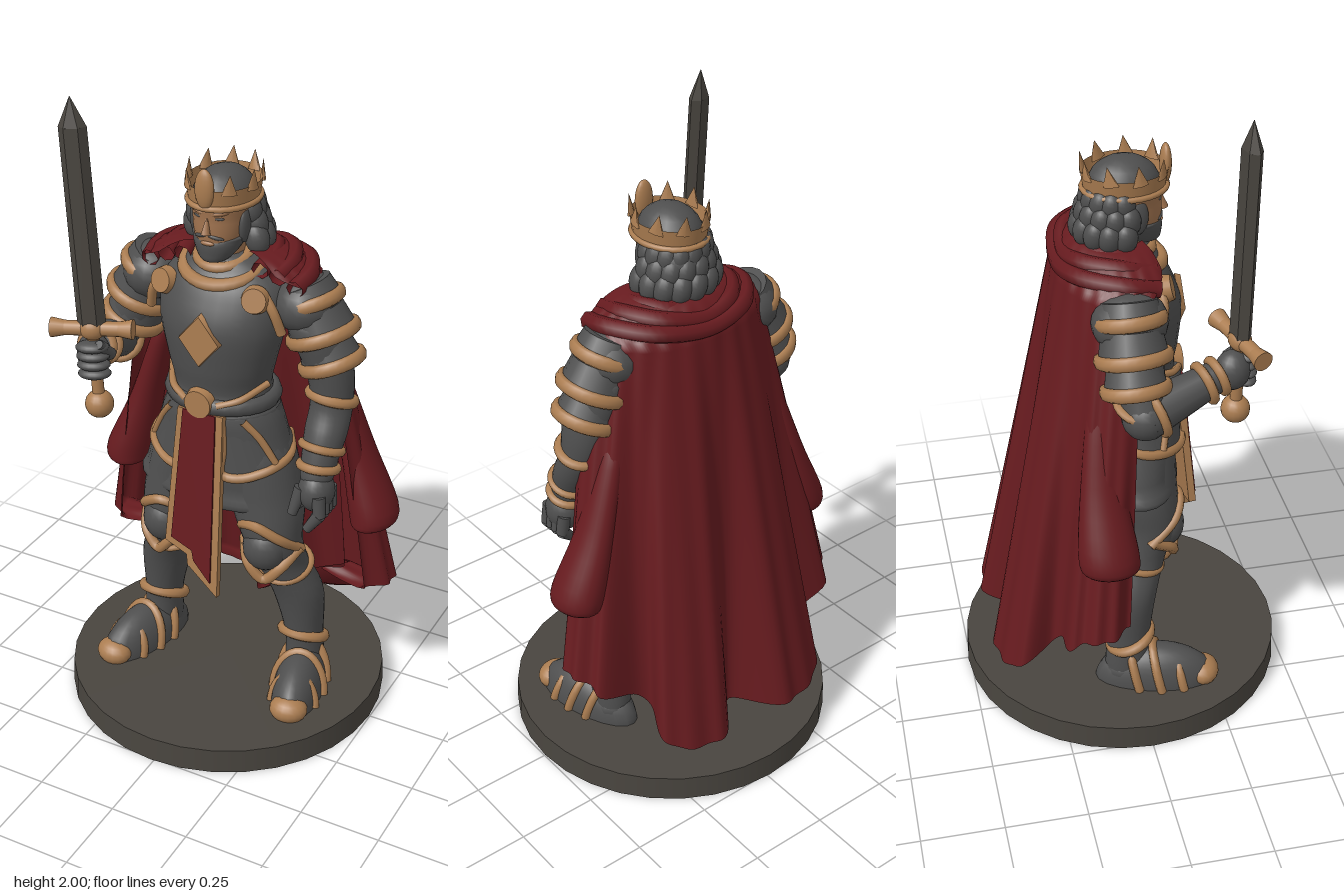
import * as THREE from 'three';
import { ParametricGeometry } from 'three/addons/geometries/ParametricGeometry.js';

const mat = (name, color, side = THREE.FrontSide) => {
  const m = new THREE.MeshStandardMaterial({ color, side });
  m.name = name;
  return m;
};
const V = (p) => new THREE.Vector3(...p);
const UP = V([0, 1, 0]), FWD = V([0, 0, 1]);
const { lerp, clamp, smoothstep } = THREE.MathUtils;
const D = Math.PI / 180;

export function createModel() {
  const steel = mat('dark steel', 0x4f4f4f), gold = mat('bronze trim', 0xab7d51, THREE.DoubleSide);
  const red = mat('red cloth', 0x671b1f, THREE.DoubleSide), stone = mat('base stone', 0x49453f);
  const skin = mat('skin', 0xa0734f);
  const model = new THREE.Group();
  model.name = 'armouredKing';

  const add = (name, geo, m, pos = [0, 0, 0], scale = [1, 1, 1], rot = [0, 0, 0], parent = model) => {
    const mesh = new THREE.Mesh(geo, m);
    mesh.name = name;
    mesh.position.set(...pos);
    mesh.scale.set(...scale);
    mesh.rotation.set(...rot);
    parent.add(mesh);
    return mesh;
  };
  const group = (name, pos, rot) => {
    const g = new THREE.Group();
    g.name = name;
    g.position.set(...pos);
    g.rotation.set(...rot, 'ZYX');
    model.add(g);
    return g;
  };
  const ball = (name, m, pos, scale, parent = model, rot) =>
    add(name, new THREE.SphereGeometry(1, 18, 12), m, pos, scale, rot, parent);
  // Tapered rod between two points
  const rod = (name, m, a, b, ra, rb, parent = model) => {
    const A = V(a), d = V(b).sub(A);
    const mesh = add(name, new THREE.CylinderGeometry(rb, ra, d.length(), 16), m,
      A.clone().addScaledVector(d, 0.5).toArray(), undefined, undefined, parent);
    mesh.quaternion.setFromUnitVectors(UP, d.normalize());
    return mesh;
  };
  // Ring around an axis
  const band = (name, m, pos, dir, r, t, scale) => {
    const mesh = add(name, new THREE.TorusGeometry(r, t, 8, 28), m, pos, scale);
    mesh.quaternion.setFromUnitVectors(FWD, V(dir).normalize());
    return mesh;
  };
  const trim = (name, m, pts, r) =>
    add(name, new THREE.TubeGeometry(new THREE.CatmullRomCurve3(pts.map(V)), 36, r, 7), m);
  // Smooth body through level rings [y, cx, cz, rx, rz], lowest first
  const loft = (name, m, rows) => {
    const e = (r, dy) => [r[0] + dy, r[1], r[2], 0.001, 0.001];
    const all = [e(rows[0], -0.005), ...rows, e(rows[rows.length - 1], 0.005)];
    const mid = new THREE.CatmullRomCurve3(all.map((r) => V([r[1], r[0], r[2]])), false, 'catmullrom');
    const size = new THREE.CatmullRomCurve3(all.map((r) => V([r[3], 0, r[4]])), false, 'catmullrom');
    return add(name, new ParametricGeometry((u, v, o) => {
      const c = mid.getPoint(v), s = size.getPoint(v), a = u * Math.PI * 2;
      o.set(c.x + s.x * Math.sin(a), c.y, c.z + s.z * Math.cos(a));
    }, 28, all.length * 4), m);
  };

  // Base
  add('base', new THREE.CylinderGeometry(0.504, 0.507, 0.08, 32), stone, [-0.01, 0.04, 0]);

  // Legs and feet
  for (const s of [1, -1]) {
    const X = (x) => -0.005 + s * x;
    loft('leg', steel, [[0.1, X(0.26), -0.03, 0.055, 0.065], [0.25, X(0.255), -0.025, 0.06, 0.068],
      [0.4, X(0.235), -0.015, 0.08, 0.082], [0.52, X(0.195), 0.02, 0.08, 0.085], [0.62, X(0.175), 0.05, 0.092, 0.095],
      [0.75, X(0.145), 0.03, 0.115, 0.115], [0.95, X(0.1), 0.02, 0.1, 0.11]]);
    ball('kneeCop', steel, [X(0.175), 0.605, 0.1], [0.07, 0.078, 0.065]);
    trim('kneeUpperTrim', gold, [[X(0.085), 0.61, 0.05], [X(0.11), 0.68, 0.125], [X(0.165), 0.7, 0.15],
      [X(0.23), 0.66, 0.125], [X(0.27), 0.59, 0.04]], 0.016);
    trim('kneeLowerTrim', gold, [[X(0.09), 0.6, 0.07], [X(0.135), 0.555, 0.135], [X(0.185), 0.505, 0.13],
      [X(0.235), 0.55, 0.115], [X(0.268), 0.6, 0.05]], 0.017);
    band('kneeStrap', gold, [X(0.2), 0.5, 0.01], [0, 1, 0.3], 0.082, 0.011);
    band('ankleTrim', gold, [X(0.255), 0.235, -0.02], [0, 1, -0.45], 0.068, 0.017);
    const foot = group('foot', [X(0.265), 0.08, -0.02], [0, s * 0.22, 0]);
    add('sabaton', new THREE.SphereGeometry(1, 20, 10, 0, Math.PI * 2, 0, Math.PI / 2), steel,
      [0, 0, 0.08], [0.08, 0.125, 0.19], undefined, foot);
    for (const [z, r, h] of [[0.03, 0.078, 0.13], [0.1, 0.082, 0.122], [0.17, 0.072, 0.095]])
      add('footBand', new THREE.TorusGeometry(1, 0.17, 8, 16, Math.PI), gold, [0, 0, z], [r, h, 0.085], [-0.25, 0, 0], foot);
    ball('toeCap', gold, [0, 0.025, 0.23], [0.06, 0.042, 0.05], foot);
    ball('heel', steel, [0, 0.04, -0.01], [0.062, 0.055, 0.075], foot);
  }

  // Skirt of plates with trimmed hip guards
  loft('skirt', steel, [[0.73, -0.012, 0.02, 0.263, 0.137], [0.8, -0.012, 0.02, 0.258, 0.142],
    [0.92, -0.01, 0.025, 0.22, 0.144], [1.07, -0.01, 0.03, 0.155, 0.13]]);
  const onHip = (s, deg, y) => {
    const k = (1.07 - y) / 0.3;
    return [-0.01 + s * (0.168 + 0.1 * k) * Math.sin(deg * D), y, 0.025 + (0.143 + 0.02 * k) * Math.cos(deg * D)];
  };
  for (const s of [1, -1]) {
    add('hipGuard', new ParametricGeometry((u, v, o) => {
      const w = s > 0 ? u : 1 - u;
      o.set(...onHip(s, lerp(15, 125, w), lerp(0.86 + 0.07 * w, 1.05, v)));
    }, 20, 6), steel);
    trim('hipGuardTrim', gold, [[20, 1.05], [19, 0.95], [17, 0.87], [30, 0.86], [60, 0.885], [90, 0.905], [125, 0.93]]
      .map(([d, y]) => onHip(s, d, y)), 0.015);
    trim('hipSideTrim', gold, [[42, 1.04], [56, 0.98], [66, 0.9]].map(([d, y]) => onHip(s, d, y)), 0.012);
  }

  // Torso, belt and chest ornaments
  loft('breastplate', steel, [[1.05, -0.01, 0.03, 0.155, 0.135], [1.12, -0.01, 0.03, 0.15, 0.132],
    [1.2, -0.01, 0.035, 0.168, 0.138], [1.32, -0.01, 0.03, 0.195, 0.147], [1.42, -0.01, 0.01, 0.195, 0.13],
    [1.48, -0.01, 0, 0.15, 0.1], [1.52, -0.01, 0, 0.08, 0.07]]);
  band('belt', steel, [-0.01, 1.08, 0.03], [0, 1, 0], 0.15, 0.022, [1.06, 0.9, 1.2]);
  for (const s of [1, -1]) {
    trim('waistTrim', gold, [[-0.01 + s * 0.05, 1.09, 0.168], [-0.01 + s * 0.11, 1.11, 0.135], [-0.01 + s * 0.16, 1.14, 0.05]], 0.011);
    add('shoulderMedallion', new THREE.CylinderGeometry(0.036, 0.043, 0.03, 22), gold,
      [-0.018 + s * 0.148, 1.425, 0.105], undefined, [1.3, 0, -s * 0.25]);
  }
  add('buckle', new THREE.CylinderGeometry(0.043, 0.05, 0.035, 24), gold, [-0.015, 1.09, 0.168], undefined, [Math.PI / 2, 0, 0]);
  add('chestDiamond', new THREE.CylinderGeometry(0.92, 1, 1, 4), gold, [-0.01, 1.295, 0.174], [0.07, 0.018, 0.085], [1.55, 0, 0]);
  band('collar', gold, [-0.015, 1.485, 0.02], [0, 1, 0.35], 0.105, 0.02, [1.1, 1, 1]);
  band('innerCollar', gold, [-0.015, 1.51, 0.015], [0, 1, 0.25], 0.075, 0.018);

  // Front tabard: bronze border with a red panel in front
  const tabard = group('tabard', [0, 1.06, 0.155], [-0.1, 0, 0]);
  const panel = (name, m, pts, depth, z) => add(name, new THREE.ExtrudeGeometry(
    new THREE.Shape(pts.map((p) => new THREE.Vector2(...p))), { depth, bevelEnabled: false }), m, [0, 0, z], undefined, undefined, tabard);
  panel('tabardBorder', gold, [[-0.085, 0], [-0.11, -0.45], [-0.035, -0.48], [-0.03, -0.515], [0.075, -0.6], [0.065, 0]], 0.022, 0);
  panel('tabardCloth', red, [[-0.065, 0], [-0.087, -0.432], [-0.015, -0.46], [-0.008, -0.492], [0.052, -0.555], [0.043, 0]], 0.006, 0.022);

  // Shoulder plates
  for (const s of [1, -1]) {
    const at = (x, y, z) => [-0.015 + s * x, y, z], dir = [s * 0.4, -1, 0.05];
    ball('shoulderCap', steel, at(0.25, 1.39, -0.025), [0.098, 0.09, 0.11]);
    for (const [x, y, r, drop] of [[0.235, 1.45, 0.094, 0.05], [0.27, 1.375, 0.102, 0.07], [0.305, 1.28, 0.092, 0.06]]) {
      const end = at(x + drop * 0.45, y - drop, -0.025);
      rod('shoulderPlate', steel, at(x, y, -0.025), end, r * 0.86, r);
      band('shoulderTrim', gold, end, dir, r * 0.98, 0.014, [1, 1, 1.5]);
    }
    trim('shoulderFrontTrim', gold, [at(0.16, 1.44, 0.08), at(0.195, 1.39, 0.085), at(0.215, 1.32, 0.07)], 0.015);
  }

  // Left arm hanging at the side
  loft('leftArm', steel, [[0.88, 0.325, 0.075, 0.046, 0.048], [0.94, 0.325, 0.055, 0.055, 0.057], [1.02, 0.327, 0.02, 0.064, 0.067],
    [1.1, 0.325, -0.015, 0.063, 0.068], [1.2, 0.31, -0.025, 0.07, 0.08], [1.35, 0.26, -0.025, 0.085, 0.095]]);
  band('leftElbowTrim', gold, [0.325, 1.11, -0.015], [0.1, 1, -0.3], 0.067, 0.016);
  band('leftForearmTrim', gold, [0.325, 0.97, 0.045], [0.05, 1, -0.4], 0.06, 0.013);
  band('leftCuff', gold, [0.325, 0.915, 0.065], [0, 1, -0.3], 0.055, 0.014);
  ball('leftHand', steel, [0.33, 0.845, 0.085], [0.055, 0.068, 0.06]);
  for (let i = 0; i < 4; i++) {
    const z = 0.125 - i * 0.026;
    rod('leftFinger', steel, [0.355, 0.85, z], [0.362, 0.785, z + 0.005], 0.021, 0.019);
    rod('leftFingertip', steel, [0.362, 0.79, z + 0.005], [0.325, 0.735 + i * 0.006, z + 0.012], 0.02, 0.014);
  }
  rod('leftThumb', steel, [0.295, 0.86, 0.115], [0.275, 0.775, 0.135], 0.022, 0.015);

  // Right arm raised forward
  const elbow = [-0.385, 1.15, -0.005], wrist = [-0.33, 1.225, 0.225];
  rod('rightUpperArm', steel, [-0.27, 1.38, -0.025], elbow, 0.085, 0.066);
  ball('rightElbow', steel, elbow, [0.07, 0.07, 0.07]);
  rod('rightForearm', steel, elbow, wrist, 0.07, 0.045);
  const foreDir = V(wrist).sub(V(elbow));
  for (const [t, r] of [[0.12, 0.071], [0.78, 0.054], [0.95, 0.049]])
    band('rightArmTrim', gold, V(elbow).addScaledVector(foreDir, t).toArray(), foreDir.toArray(), r, 0.014);
  band('rightElbowTrim', gold, [-0.365, 1.19, -0.01], [0.4, -1, 0], 0.072, 0.014);

  // Sword and gripping hand
  const sword = group('sword', [-0.302, 1.31, 0.283], [0, 0.3, 0.06]);
  const flat = (g) => { const n = g.toNonIndexed(); n.computeVertexNormals(); return n; };
  const steelBar = (name, top, bottom, h, y) =>
    add(name, flat(new THREE.CylinderGeometry(top, bottom, h, 6)), stone, [0, y, 0], [0.025, 1, 0.041], [0, Math.PI / 2, 0], sword);
  steelBar('blade', 1, 1.05, 0.61, 0.305);
  steelBar('bladeTip', 0.02, 1, 0.085, 0.652);
  rod('crossguard', gold, [-0.11, 0.005, 0], [0.11, 0.005, 0], 0.022, 0.022, sword);
  for (const s of [1, -1]) rod('guardEnd', gold, [s * 0.08, 0.005, 0], [s * 0.122, 0.005, 0], 0.022, 0.03, sword);
  ball('guardBoss', gold, [0, 0.005, 0], [0.04, 0.035, 0.032], sword);
  rod('grip', gold, [0, -0.21, 0], [0, 0, 0], 0.018, 0.018, sword);
  ball('pommel', gold, [0, -0.238, 0], [0.043, 0.043, 0.043], sword);
  ball('rightHand', steel, [-0.01, -0.085, -0.025], [0.05, 0.062, 0.052], sword);
  for (let i = 0; i < 4; i++) ball('rightFinger', steel, [0, -0.045 - i * 0.028, 0.018], [0.05, 0.018, 0.034], sword);
  rod('rightThumb', steel, [0.045, -0.08, -0.01], [0.025, -0.03, 0.035], 0.019, 0.014, sword);

  // Head and face
  const hx = -0.015;
  rod('neck', skin, [hx, 1.47, 0], [hx, 1.58, 0.015], 0.06, 0.058);
  loft('face', skin, [[1.535, hx, 0.055, 0.045, 0.05], [1.58, hx, 0.04, 0.07, 0.077], [1.64, hx, 0.023, 0.083, 0.095], [1.71, hx, 0.01, 0.088, 0.1]]);
  loft('beard', steel, [[1.515, hx, 0.07, 0.035, 0.04], [1.54, hx, 0.055, 0.06, 0.064], [1.575, hx, 0.035, 0.078, 0.083], [1.588, hx, 0.015, 0.082, 0.08]]);
  ball('mouth', skin, [hx, 1.575, 0.116], [0.022, 0.007, 0.007]);
  add('nose', new THREE.ConeGeometry(0.015, 0.06, 8), skin, [hx, 1.634, 0.119], undefined, [-0.2, 0, 0]);
  for (const s of [1, -1]) {
    ball('moustache', steel, [hx + s * 0.022, 1.595, 0.108], [0.026, 0.007, 0.01], model, [0, s * 0.3, -s * 0.25]);
    ball('brow', skin, [hx + s * 0.034, 1.668, 0.103], [0.03, 0.009, 0.012], model, [0, s * 0.35, s * 0.2]);
    ball('eye', steel, [hx + s * 0.034, 1.652, 0.107], [0.015, 0.005, 0.005], model, [0, s * 0.35, 0]);
    ball('sideburn', steel, [hx + s * 0.078, 1.62, 0.035], [0.016, 0.055, 0.03]);
  }

  // Hair: cap plus rows of curls
  ball('hairCap', steel, [hx, 1.69, 0.01], [0.09, 0.085, 0.106]);
  ball('hairBack', steel, [hx, 1.62, -0.05], [0.1, 0.085, 0.075]);
  for (let row = 0; row < 3; row++)
    for (let i = 0; i < 9; i++) {
      const a = (80 + i * 24 + (row % 2) * 8) * D, r = 0.076 + row * 0.014;
      ball('curl', steel, [hx + r * Math.sin(a), 1.655 - row * 0.042, -0.01 + r * Math.cos(a)], [0.036, 0.05, 0.036], model, [0, 0, 0.3]);
    }

  // Crown
  add('crownBand', new THREE.CylinderGeometry(1.06, 0.98, 0.06, 32, 1, true), gold, [hx, 1.712, 0.012], [0.1, 1, 0.119]);
  band('crownRim', gold, [hx, 1.685, 0.012], [0, 1, 0], 0.1, 0.009, [1, 1.19, 1]);
  for (let i = 1; i < 9; i++) {
    const a = i * 40 * D;
    add('crownPoint', new THREE.ConeGeometry(0.026, 0.06, 6), gold, [hx + 0.104 * Math.sin(a), 1.758, 0.012 + 0.124 * Math.cos(a)],
      [1, 1, 0.35], [0.15 * Math.cos(a), a, -0.15 * Math.sin(a)]);
  }
  ball('crownJewel', gold, [hx, 1.742, 0.13], [0.03, 0.06, 0.017]);

  // Cape: lies over the shoulders, falls in four broad folds with deep valleys, and its hem turns under
  add('cape', new ParametricGeometry((u, v, o) => {
    const deg = (2 * u - 1) * lerp(128, 95, smoothstep(v, 0.14, 0.26)), a = deg * D;
    const q = clamp(v / 0.2, 0, 1), t = clamp((v - 0.2) / 0.72, 0, 1), under = clamp((v - 0.92) / 0.08, 0, 1);
    const hem = 0.17 + 0.26 * smoothstep(Math.abs(deg), 20, 76);
    const y = (t > 0 ? lerp(1.465, hem, t) : 1.545 - 0.08 * q * q) + 0.03 * under * under;
    const s = (1.465 - Math.min(y, 1.465)) / 1.295;
    const rx = lerp(0.11, 0.28, q) + 0.27 * Math.pow(s, 0.9);
    const rz = lerp(0.1, 0.18, q) + 0.16 * s;
    const valley = Math.pow(Math.cos(deg / 47.5 * Math.PI), 6);
    const fold = 1 + s * (0.03 - 0.46 * (1 - 0.6 * Math.abs(deg) / 95) * valley + 0.02 * Math.cos(deg / 12 * Math.PI * 2))
      + 0.01 * q * Math.cos(deg / 15 * Math.PI * 2) - 0.3 * under;
    o.set(-0.005 + rx * fold * Math.sin(a), y, -0.015 - 0.085 * s - rz * fold * Math.cos(a));
  }, 120, 60), red);
  for (const [r, y, z] of [[0.13, 1.52, -0.125], [0.185, 1.51, -0.16], [0.24, 1.485, -0.18]])
    trim('capeCollarFold', red, [[-r + 0.005, y - 0.02, 0.065], [-r, y + 0.002, -0.03], [-r * 0.65, y, z * 0.82], [-0.005, y - 0.02, z],
      [r * 0.65, y, z * 0.82], [r, y + 0.002, -0.03], [r - 0.005, y - 0.02, 0.065]], 0.027);

  // Flared upper folds at the cape's sides
  for (const s of [1, -1])
    loft('capeSideFold', red, [[0.65, s * 0.425, -0.11, 0.05, 0.07], [0.7, s * 0.43, -0.12, 0.075, 0.09],
      [0.9, s * 0.365, -0.125, 0.05, 0.065], [1.15, s * 0.29, -0.11, 0.03, 0.04]]);

  return model;
}
